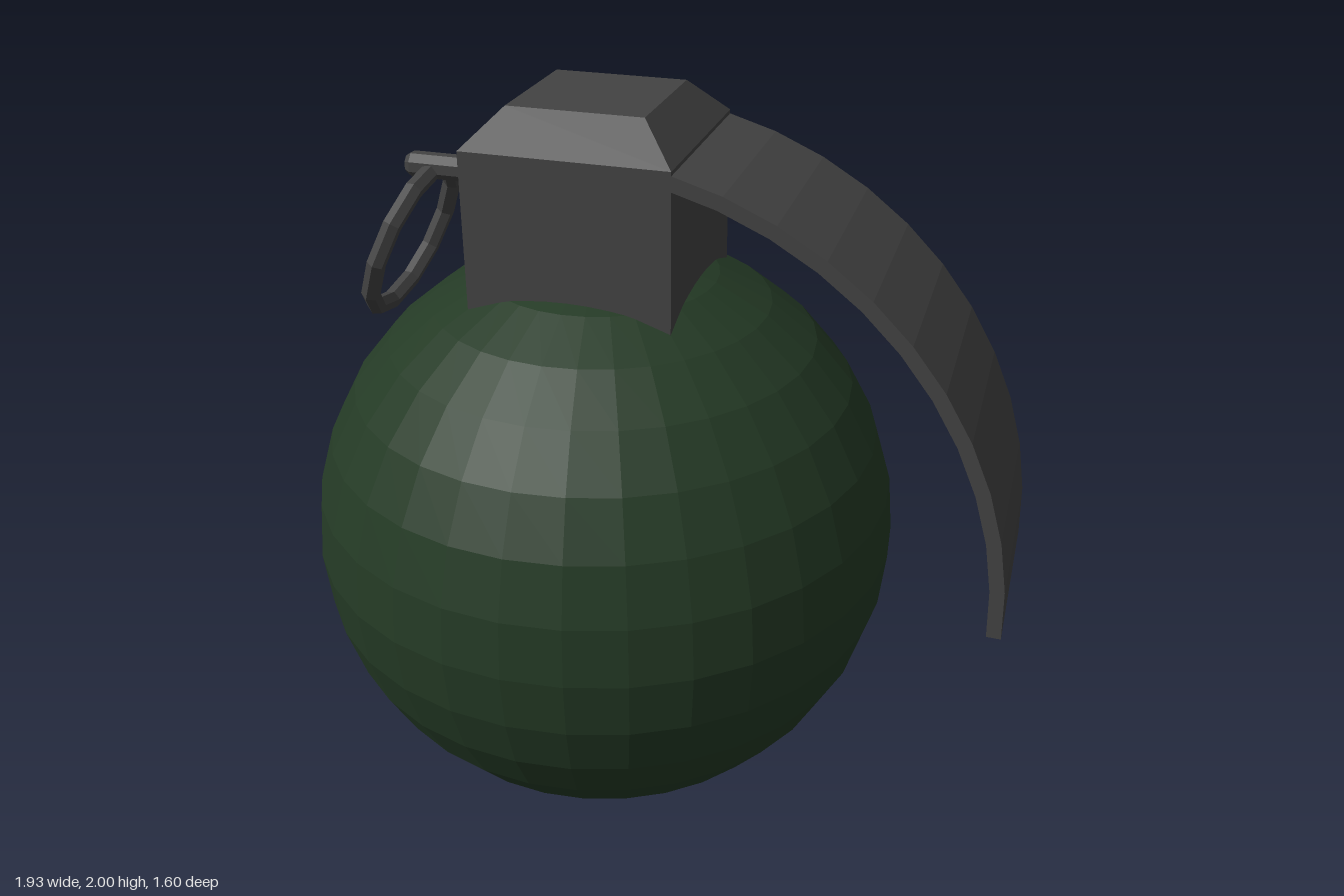
import * as THREE from 'three';

const CX = -0.165; // x of the body axis
const CY = 0.8;    // height of the body centre

export function createModel() {
  const model = new THREE.Group();
  const green = new THREE.MeshStandardMaterial({ color: 0x243a25, flatShading: true });
  green.name = 'dark green';
  const grey = new THREE.MeshStandardMaterial({ color: 0x434343, flatShading: true });
  grey.name = 'dark grey';

  const add = (name, geometry, material) => {
    const mesh = new THREE.Mesh(geometry, material);
    mesh.name = name;
    model.add(mesh);
    return mesh;
  };

  // Round faceted body
  add('body', new THREE.SphereGeometry(0.8, 32, 16), green).position.set(CX, CY, 0);

  // Square cap with a bevelled top, sunk into the body
  const profile = [[0, 1.4], [0.265, 1.4], [0.265, 1.908], [0.174, 2], [0, 2]]
    .map(([half, y]) => new THREE.Vector2(half * Math.SQRT2, y));
  add('cap', new THREE.LatheGeometry(profile, 4, Math.PI / 4), grey).position.x = CX;

  // Curved lever: an arc strip concentric with the body
  const outer = 1.13, inner = 1.093, steps = 11;
  const start = 1.345, end = -0.015;
  const points = [];
  const arcPoint = (radius, i) => {
    const a = start + (end - start) * i / steps;
    points.push(new THREE.Vector2(CX + radius * Math.cos(a), CY + radius * Math.sin(a)));
  };
  for (let i = 0; i <= steps; i++) arcPoint(outer, i);
  for (let i = steps; i >= 0; i--) arcPoint(inner, i);
  const lever = new THREE.ExtrudeGeometry(new THREE.Shape(points), { depth: 0.53, bevelEnabled: false });
  lever.translate(0, 0, -0.265);
  add('lever', lever, grey);

  // Pin with a chamfered tip, pointing to -x
  const pinProfile = [[0, 0], [0.034, 0], [0.034, 0.285], [0.025, 0.3], [0, 0.3]]
    .map(([r, y]) => new THREE.Vector2(r, y));
  const pin = add('pin', new THREE.LatheGeometry(pinProfile, 8, Math.PI / 8), grey);
  pin.rotation.z = Math.PI / 2;
  pin.position.set(-0.395, 1.773, 0);

  // Pull ring hanging from the pin, leaning outwards
  const ring = new THREE.TorusGeometry(0.211, 0.025, 6, 12);
  ring.rotateY(Math.PI / 2);
  ring.rotateZ(-0.395);
  add('pullRing', ring, grey).position.set(-0.703, 1.572, 0);

  return model;
}
